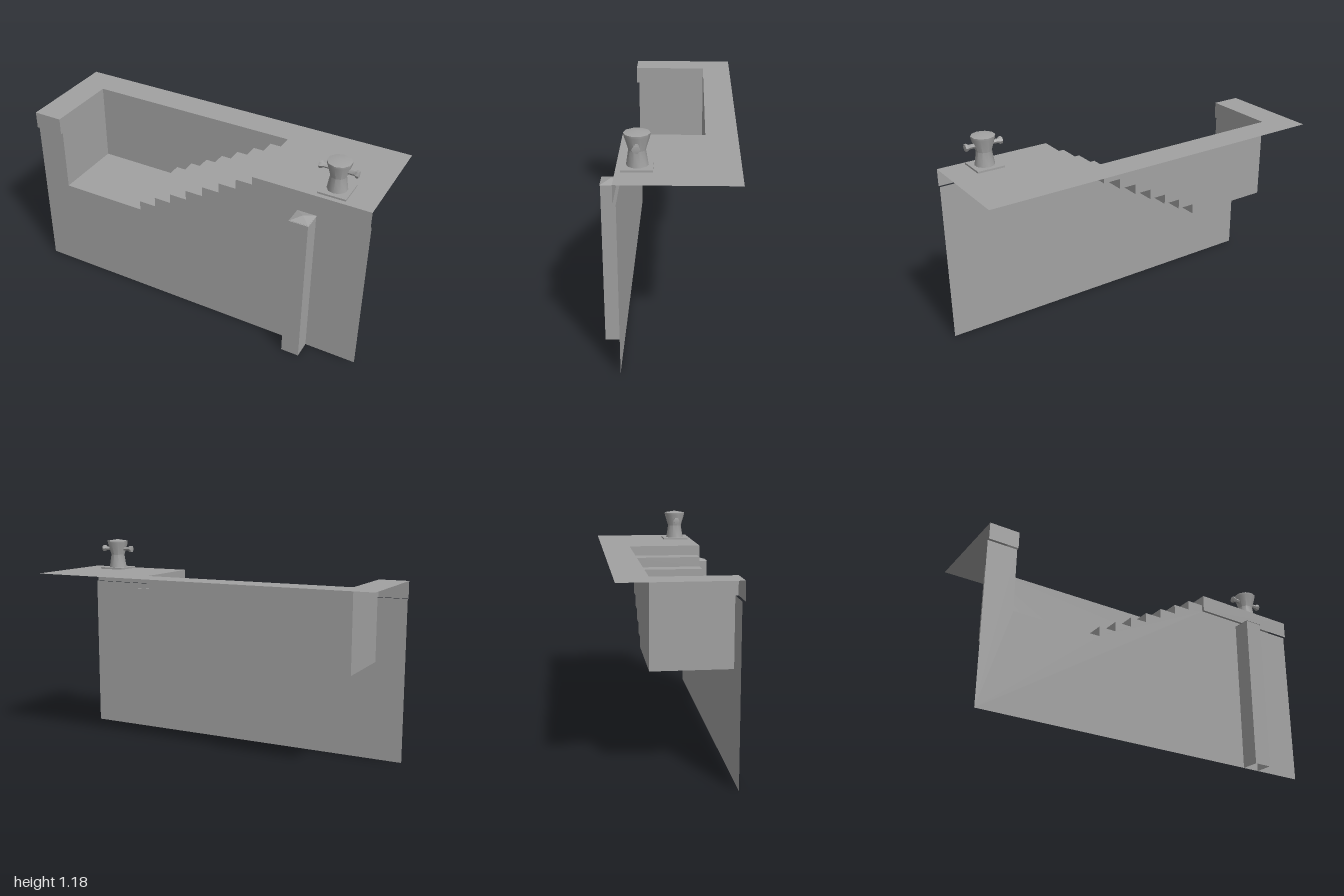
import * as THREE from 'three';
import { toCreasedNormals } from 'three/addons/utils/BufferGeometryUtils.js';

const stone = new THREE.MeshStandardMaterial({ color: 0xa2a2a2, side: THREE.DoubleSide });
stone.name = 'grey stone';

const BACK = -0.335, FRONT = 0.25, WALL = 0.235, INNER = -0.17;
const LEFT = -0.835, RIGHT = 0.365, FLOOR = 0.55, LIP = 0.905;

function part(name, geometry, parent, x = 0, y = 0, z = 0) {
  const mesh = new THREE.Mesh(geometry, stone);
  mesh.name = name;
  mesh.position.set(x, y, z);
  parent.add(mesh);
  return mesh;
}

const flat = (points) =>
  new THREE.ShapeGeometry(new THREE.Shape(points.map(([x, y]) => new THREE.Vector2(x, y))));

// sweep a path of [x, y, z] points along an offset, one flat quad per segment
function ribbon(path, [ox, oy, oz]) {
  const pos = [];
  const move = ([x, y, z]) => [x + ox, y + oy, z + oz];
  for (let i = 0; i < path.length - 1; i++) {
    const p = path[i], q = path[i + 1];
    pos.push(...p, ...q, ...move(q), ...p, ...move(q), ...move(p));
  }
  const g = new THREE.BufferGeometry();
  g.setAttribute('position', new THREE.Float32BufferAttribute(pos, 3));
  g.computeVertexNormals();
  return g;
}

function createBollard() {
  const bollard = new THREE.Group();
  bollard.name = 'mooringBollard';
  bollard.position.set(0.78, 1, 0.15);
  part('basePlate', new THREE.BoxGeometry(0.15, 0.01, 0.15), bollard, 0, 0.005, 0);

  // waisted body with a shallow pointed top
  const profile = [[0.053, 0.01], [0.041, 0.085], [0.0625, 0.155], [0.0635, 0.167], [0, 0.178]];
  const body = new THREE.LatheGeometry(profile.map(([r, y]) => new THREE.Vector2(r, y)), 10);
  part('bollardBody', toCreasedNormals(body, 0.7), bollard);

  // cross arms with flared hexagonal ends
  const arm = [[0.012, 0.03], [0.012, 0.08], [0.02, 0.09], [0.02, 0.102], [0, 0.105]];
  for (const side of [-1, 1]) {
    const g = new THREE.LatheGeometry(arm.map(([r, y]) => new THREE.Vector2(r, y)), 6);
    g.rotateY(Math.PI / 6 + Math.PI / 3);
    g.rotateZ(-side * Math.PI / 2);
    g.rotateX(Math.PI / 6);
    part(side < 0 ? 'rightArm' : 'leftArm', toCreasedNormals(g, 0.7), bollard, 0, 0.12, 0);
  }
  return bollard;
}

export function createModel() {
  const quay = new THREE.Group();
  quay.name = 'quayWithSteps';

  // landing floor and eight risers, as [x, y]
  const steps = [[LEFT, FLOOR]];
  for (let i = 0; i < 8; i++) {
    const x = -0.335 + i * 0.1;
    steps.push([x, FLOOR + i * 0.05625], [x, FLOOR + (i + 1) * 0.05625]);
  }

  // top deck with a recess for the stairs
  const deck = flat([[-1, -FRONT], [LEFT, -FRONT], [LEFT, -INNER], [RIGHT, -INNER],
    [RIGHT, -FRONT], [1, -FRONT], [1, -BACK], [-1, -BACK]]);
  deck.rotateX(-Math.PI / 2);
  part('deck', deck, quay, 0, 1, 0);

  // edge lip with short returns to the wall
  const lip = [0, 1 - LIP, 0];
  part('rightLip', ribbon([[-1, LIP, FRONT], [LEFT, LIP, FRONT], [LEFT, LIP, WALL]], lip), quay);
  part('leftLip', ribbon([[RIGHT, LIP, WALL], [RIGHT, LIP, FRONT], [1, LIP, FRONT]], lip), quay);

  // front wall cut to the stair outline
  part('frontWall', flat([[-1, 0], [1, 0], [1, LIP], [RIGHT, LIP], [RIGHT, 0.94375],
    ...steps.slice(0, -1).reverse(), [LEFT, LIP], [-1, LIP]]), quay, 0, 0, WALL);

  // recess: end wall, landing and stairs in one sweep, then the back wall
  part('stairs', ribbon([[LEFT, 1], ...steps].map(([x, y]) => [x, y, WALL]), [0, 0, INNER - WALL]), quay);
  part('recessBackWall', flat([[LEFT, 1], ...steps]), quay, 0, 0, INNER);

  // fender post against the wall
  part('fenderPost', ribbon([[0.615, 0, WALL], [0.615, 0, 0.335], [0.715, 0, 0.335], [0.715, 0, WALL]],
    [0, 0.875, 0]), quay);
  const cap = new THREE.ConeGeometry(0.053 * Math.SQRT2, 0.018, 4).toNonIndexed();
  cap.computeVertexNormals();
  cap.rotateY(Math.PI / 4);
  part('postCap', cap, quay, 0.665, 0.882, 0.285);

  quay.add(createBollard());
  return quay;
}
